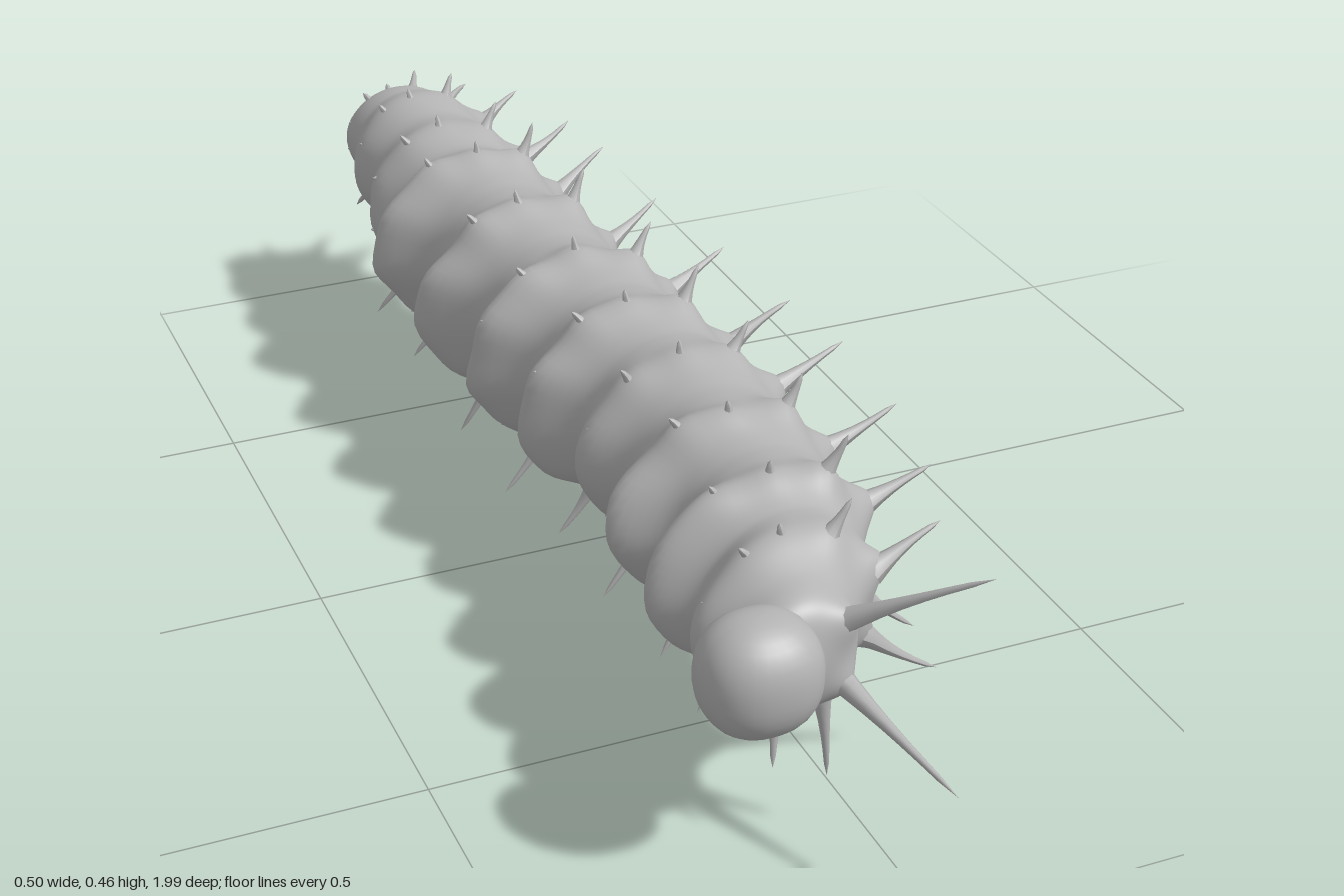
import * as THREE from 'three';

// body sections from tail to neck: z, centre x, centre y, half width, half height
const SECTIONS = [
  [-0.972, -0.085, 0.30, 0.002, 0.002], [-0.955, -0.083, 0.30, 0.05, 0.045], [-0.90, -0.062, 0.308, 0.082, 0.088],
  [-0.80, -0.05, 0.298, 0.1, 0.108], [-0.60, -0.042, 0.276, 0.114, 0.124], [-0.40, -0.033, 0.266, 0.119, 0.132],
  [-0.20, -0.021, 0.264, 0.122, 0.132], [0.00, -0.007, 0.267, 0.123, 0.131], [0.20, 0.002, 0.272, 0.121, 0.127],
  [0.40, -0.004, 0.28, 0.115, 0.118], [0.55, -0.022, 0.288, 0.112, 0.111], [0.66, -0.05, 0.29, 0.104, 0.1],
  [0.74, -0.085, 0.288, 0.086, 0.085], [0.80, -0.105, 0.285, 0.068, 0.07], [0.825, -0.11, 0.285, 0.002, 0.002],
];
const RINGS = [-0.92, -0.82, -0.68, -0.54, -0.34, -0.14, 0.045, 0.21, 0.39, 0.565, 0.69];

// spine rows: base angle, direction angle, length, pull on the skin, width of the pull
const ROWS = [
  [18, 24, 0.102, 0.032, 0.034],
  [-36, -37, 0.122, 0.032, 0.034],
  [-82, -82, 0.108, 0.03, 0.032],
  [-116, -120, 0.115, 0.03, 0.032],
];
// blunt lumps and short thorns: as above
const KNOBS = [
  [-138, -138, 0.014, 0.05, 0.045],
  [-167, -165, 0.012, 0.068, 0.05],
  [162, 164, 0.012, 0.05, 0.046],
  [130, 126, 0.022, 0.03, 0.04],
  [98, 96, 0.02, 0.016, 0.034],
  [62, 60, 0.05, 0.024, 0.034],
];
// how far the lumps stand out on each ring
const LUMPS = [0.15, 0.3, 0.5, 1, 1, 1, 0.9, 0.6, 0.95, 0.95, 0.5];

const rad = THREE.MathUtils.degToRad;
const V = (x, y, z) => new THREE.Vector3(x, y, z);
const centres = new THREE.CatmullRomCurve3(SECTIONS.map(s => V(s[1], s[2], s[0])), false, 'catmullrom');
const radii = new THREE.CatmullRomCurve3(SECTIONS.map(s => V(s[3], s[4], s[0])), false, 'catmullrom');

function seeded(seed) {
  return () => (seed = (seed * 16807) % 2147483647) / 2147483647;
}

// curve parameter at a given z
function paramAt(z) {
  let a = 0, b = 1;
  for (let i = 0; i < 24; i++) {
    const m = (a + b) / 2;
    if (centres.getPoint(m).z < z) a = m; else b = m;
  }
  return a;
}

// segments swell at each ring and pinch between rings
function swell(z) {
  for (let i = 0; i < RINGS.length - 1; i++) {
    const f = (z - RINGS[i]) / (RINGS[i + 1] - RINGS[i]);
    if (f >= 0 && f < 1) return 1 + 0.04 * Math.abs(Math.cos(Math.PI * f));
  }
  return 1.04;
}

function skinPoint(t, angle) {
  const c = centres.getPoint(t), r = radii.getPoint(t), k = swell(c.z);
  return V(c.x + r.x * k * Math.cos(angle), c.y + r.y * k * Math.sin(angle), c.z);
}

function planSpines() {
  const rnd = seeded(71), spines = [];
  RINGS.forEach((z, i) => {
    const tail = [-0.75, -0.4][i] ?? 0;
    const place = ([base, aim, length, pull, width], fade) => {
      const angle = rad(aim + (rnd() - 0.5) * 12);
      const lean = tail || -0.12 + 0.25 * z + (rnd() - 0.5) * 0.2;
      const size = (i < 2 ? 0.75 : 1) * (0.9 + 0.2 * rnd());
      spines.push({
        base: skinPoint(paramAt(z + (rnd() - 0.5) * 0.02), rad(base + (rnd() - 0.5) * 8)),
        dir: V(Math.cos(angle), Math.sin(angle), lean).normalize(),
        length: length * size, pull: pull * fade, width,
      });
    };
    // the ring behind the head has no belly spines
    ROWS.slice(0, i === RINGS.length - 1 ? 2 : 4).forEach(row => place(row, i < 1 ? 0.7 : 1));
    KNOBS.forEach(row => place(row, LUMPS[i]));
  });
  // long feelers behind the head, aimed straight at their tips
  const feelers = [
    [V(-0.05, 0.325, 0.79), V(0.09, 0.43, 0.92)],
    [V(-0.05, 0.245, 0.79), V(0.015, 0.18, 0.995)],
    [V(-0.06, 0.225, 0.765), V(-0.05, 0.08, 0.775)],
    [V(-0.11, 0.215, 0.75), V(-0.125, 0.11, 0.77)],
  ];
  for (const [base, tip] of feelers) {
    const dir = tip.clone().sub(base);
    const length = dir.length() - 0.012;
    spines.push({ base, dir: dir.normalize(), length, pull: 0.015, width: 0.025 });
  }
  return spines;
}

// closed skin pulled outwards around every spine
function bodyGeometry(spines) {
  const rows = 240, cols = 64, pos = [], index = [];
  for (let i = 0; i <= rows; i++) {
    for (let j = 0; j < cols; j++) {
      const p = skinPoint(i / rows, (j / cols) * Math.PI * 2);
      const q = p.clone();
      for (const s of spines) {
        const d = p.distanceToSquared(s.base) / (s.width * s.width);
        if (d < 8) q.addScaledVector(s.dir, s.pull * Math.exp(-d));
      }
      pos.push(q.x, q.y, q.z);
      if (i < rows) {
        const a = i * cols + j, b = i * cols + (j + 1) % cols;
        index.push(a, b, a + cols, b, b + cols, a + cols);
      }
    }
  }
  const g = new THREE.BufferGeometry();
  g.setAttribute('position', new THREE.Float32BufferAttribute(pos, 3));
  g.setIndex(index);
  g.computeVertexNormals();
  return g;
}

// flared, slightly bent thorn standing along +y
function spineGeometry(length, bend) {
  const profile = [], steps = 7, sink = 0.02;
  for (let i = 0; i <= steps; i++) {
    const u = i / steps;
    const r = u === 1 ? 0 : 0.011 * Math.pow(1 - u, 3) + 0.009 * (1 - 0.7 * u);
    profile.push(new THREE.Vector2(r, -sink + u * (length + sink)));
  }
  const g = new THREE.LatheGeometry(profile, 8);
  const p = g.attributes.position;
  for (let i = 0; i < p.count; i++) {
    const u = Math.max(0, p.getY(i) / length);
    p.setX(i, p.getX(i) + bend * length * u * (1 - u));
  }
  g.computeVertexNormals();
  return g;
}

export function createModel() {
  const model = new THREE.Group();
  model.name = 'caterpillar';
  const grey = new THREE.MeshStandardMaterial({ color: 0xb4b4b4 });
  grey.name = 'grey skin';
  const add = (parent, geometry, name) => {
    const mesh = new THREE.Mesh(geometry, grey);
    mesh.name = name;
    parent.add(mesh);
    return mesh;
  };

  const spines = planSpines();
  add(model, bodyGeometry(spines), 'body');

  // head, a slightly squared ball
  const ball = new THREE.SphereGeometry(1, 28, 20);
  const p = ball.attributes.position;
  for (let i = 0; i < p.count; i++) {
    const v = V(p.getX(i), p.getY(i), p.getZ(i));
    const k = Math.pow(Math.abs(v.x) ** 2.3 + Math.abs(v.y) ** 2.3 + Math.abs(v.z) ** 2.3, -1 / 2.3);
    p.setXYZ(i, v.x * k, v.y * k, v.z * k);
  }
  ball.scale(0.081, 0.081, 0.073);
  ball.computeVertexNormals();
  add(model, ball, 'head').position.set(-0.169, 0.295, 0.812);

  // spines
  const group = new THREE.Group();
  group.name = 'spines';
  model.add(group);
  const rnd = seeded(19);
  for (const s of spines) {
    const mesh = add(group, spineGeometry(s.length, (rnd() - 0.5) * 0.3), 'spine');
    mesh.position.copy(s.base).addScaledVector(s.dir, s.pull * 0.9);
    mesh.quaternion.setFromUnitVectors(V(0, 1, 0), s.dir);
  }
  return model;
}
